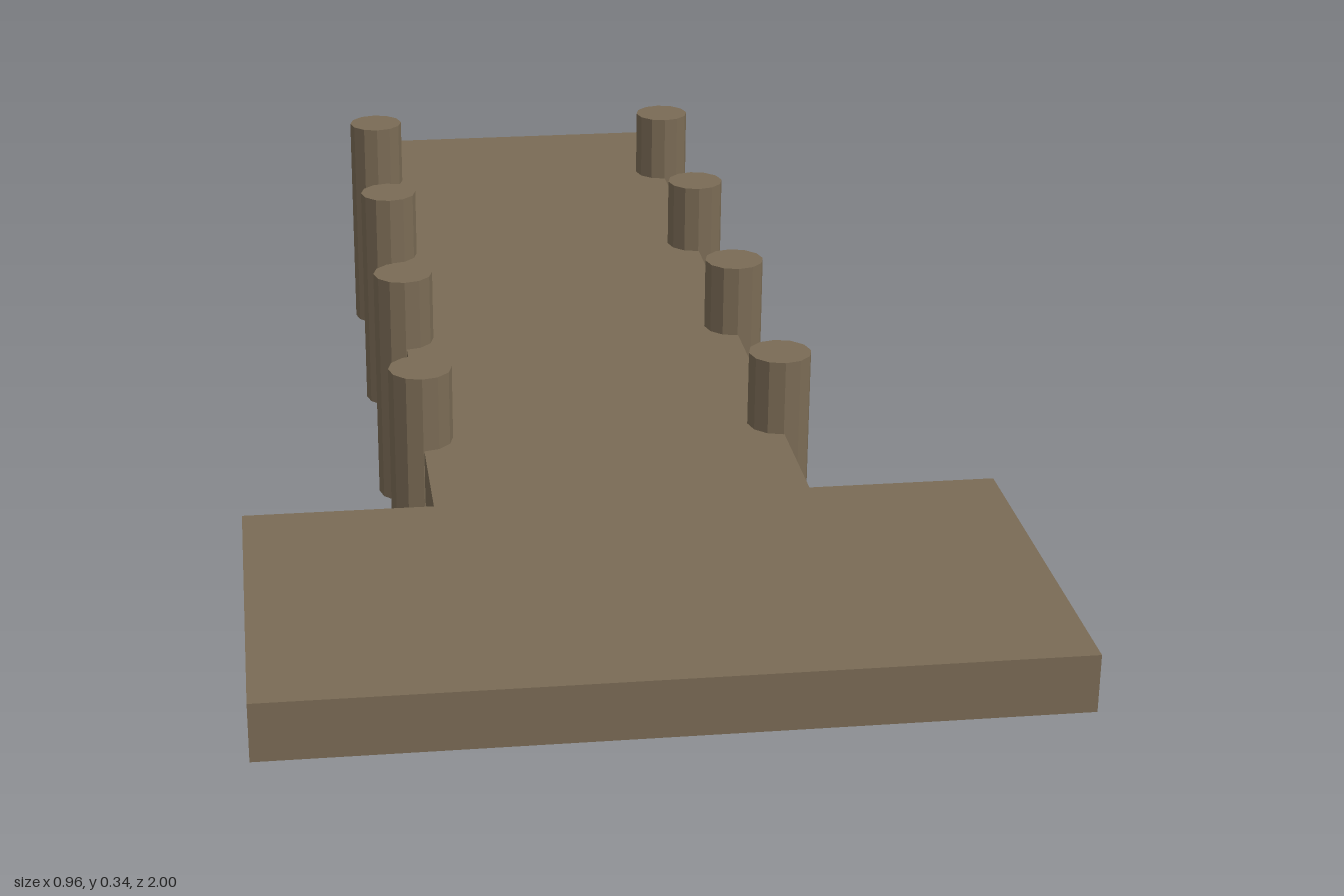
import * as THREE from 'three';

export function createModel() {
  const model = new THREE.Group();
  model.name = 'dock';

  const wood = new THREE.MeshStandardMaterial({ color: 0x7a6b55, side: THREE.DoubleSide, flatShading: true });
  wood.name = 'weathered wood';

  const top = 0.238, bottom = 0.165;

  // T-shaped deck outline as (x, z)
  const half = [[0.24, -1], [0.24, 0.515], [0.48, 0.515], [0.48, 1]];
  const outline = [...half, ...half.map(([x, z]) => [-x, z]).reverse()];

  const deck = new THREE.Group();
  deck.name = 'deck';
  model.add(deck);

  // Walking surface, open underneath
  const shape = new THREE.Shape(outline.map(([x, z]) => new THREE.Vector2(x, -z)));
  const surface = new THREE.Mesh(new THREE.ShapeGeometry(shape).rotateX(-Math.PI / 2), wood);
  surface.name = 'deckSurface';
  surface.position.y = top;
  deck.add(surface);

  // Thin skirt boards around the edge, facing outward
  outline.forEach(([x1, z1], i) => {
    const [x2, z2] = outline[(i + 1) % outline.length];
    const dx = x2 - x1, dz = z2 - z1;
    const board = new THREE.Mesh(new THREE.PlaneGeometry(Math.hypot(dx, dz), top - bottom), wood);
    board.name = 'deckSkirt';
    board.position.set((x1 + x2) / 2, (top + bottom) / 2, (z1 + z2) / 2);
    board.rotation.y = Math.atan2(dz, -dx);
    deck.add(board);
  });

  // Four pairs of posts along the walkway
  const height = 0.34;
  const postGeometry = new THREE.CylinderGeometry(0.042, 0.042, height, 12);
  for (const x of [-0.241, 0.239]) {
    for (let i = 0; i < 4; i++) {
      const post = new THREE.Mesh(postGeometry, wood);
      post.name = 'post';
      post.position.set(x, height / 2, 0.302 - i * 0.361);
      model.add(post);
    }
  }

  return model;
}
